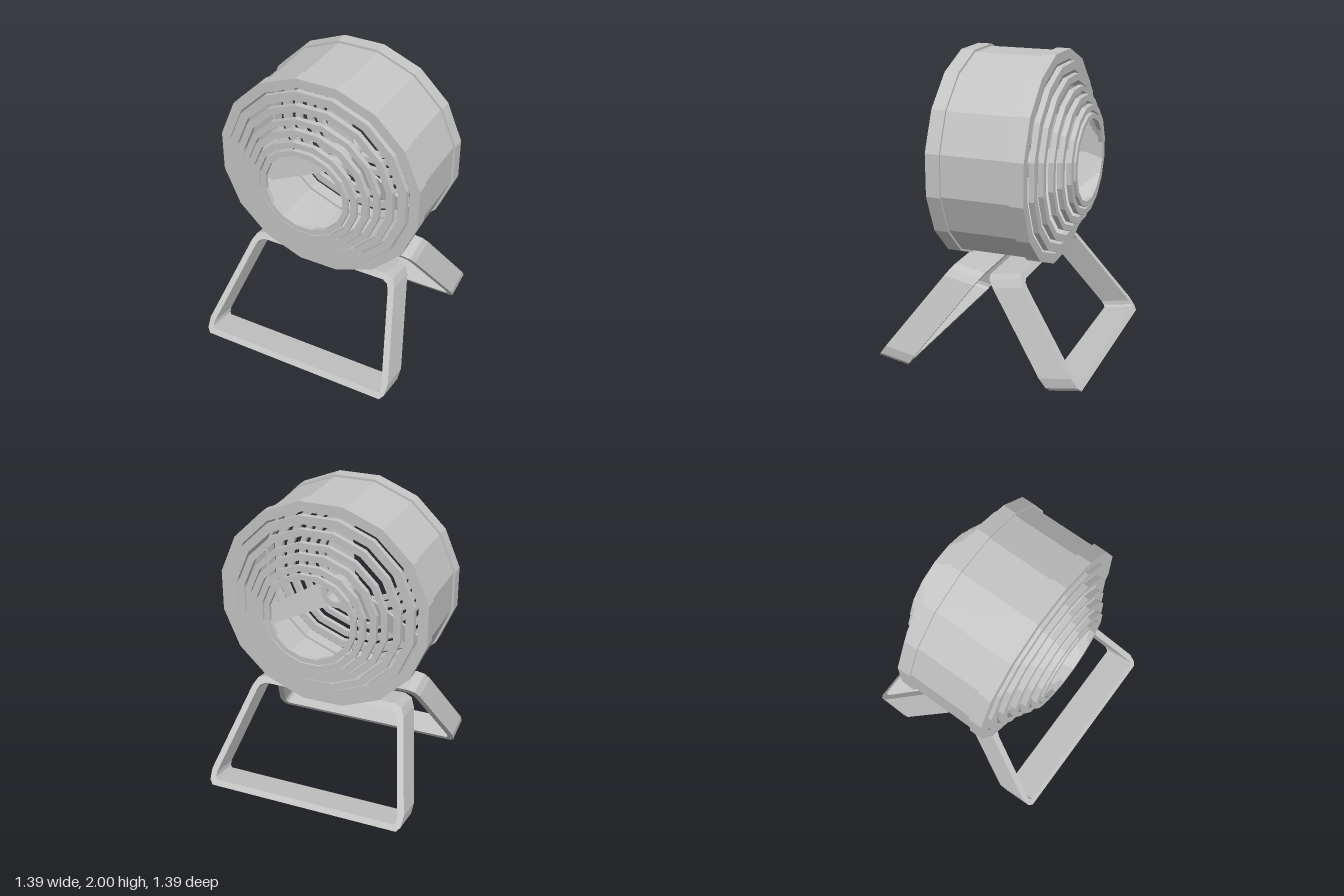
import * as THREE from 'three';

const SIDES = 16;
const CENTRE_Y = 1.317;

// Faceted hollow ring around the z axis; radii are measured to the flats
function ring(name, outer, inner, zBack, zFront, material, outerFront = outer) {
  const k = 1 / Math.cos(Math.PI / SIDES);
  const profile = [
    [outer, zBack], [outerFront, zFront], [inner, zFront], [inner, zBack], [outer, zBack],
  ].map(([r, z]) => new THREE.Vector2(r * k, z));
  const geometry = new THREE.LatheGeometry(profile, SIDES, Math.PI / SIDES);
  geometry.rotateX(Math.PI / 2);
  const mesh = new THREE.Mesh(geometry, material);
  mesh.name = name;
  return mesh;
}

// Symmetric counter-clockwise outline from its right half, listed top to bottom
function outline(half) {
  const left = half.map(([x, y]) => [-x, y]).reverse();
  return [...half, ...left].reverse().map(([x, y]) => new THREE.Vector2(x, y));
}

// Trapezoid band leaning inward towards the top
function standFrame(material) {
  const shape = new THREE.Shape(outline([
    [0.465, 0.642], [0.515, 0.625], [0.542, 0.58], [0.685, 0.09], [0.68, 0.03], [0.655, 0.004],
  ]));
  shape.holes.push(new THREE.Path(outline([
    [0.452, 0.605], [0.485, 0.59], [0.503, 0.56], [0.645, 0.075], [0.642, 0.05], [0.63, 0.037],
  ])));
  const geometry = new THREE.ExtrudeGeometry(shape, { depth: 1, bevelEnabled: false });
  const p = geometry.attributes.position;
  for (let i = 0; i < p.count; i++) {
    const h = p.getY(i), d = p.getZ(i);
    p.setXYZ(i, p.getX(i), h - 0.004 + 0.036 * d, 0.493 - 0.738 * h + 0.207 * d);
  }
  geometry.computeVertexNormals();
  return new THREE.Mesh(geometry, material);
}

export function createModel() {
  const model = new THREE.Group();
  model.name = 'tableFan';
  const grey = new THREE.MeshStandardMaterial({ color: 0xc4c4c4, flatShading: true });
  grey.name = 'grey';

  const head = new THREE.Group();
  head.name = 'fanHead';
  head.position.y = CENTRE_Y;
  head.scale.y = 0.98;
  model.add(head);

  // Drum with a raised rim at each end
  head.add(ring('drum', 0.682, 0.65, -0.3, 0.28, grey));
  head.add(ring('frontRim', 0.697, 0.632, 0.213, 0.306, grey));
  head.add(ring('backRim', 0.697, 0.632, -0.329, -0.238, grey));

  // Stepped guard rings: outer radius, inner radius, near and far distance from the middle
  const guards = [
    [0.62, 0.565, 0.31, 0.347],
    [0.545, 0.5, 0.343, 0.378],
    [0.472, 0.435, 0.381, 0.416],
    [0.418, 0.375, 0.419, 0.453],
    [0.357, 0.318, 0.458, 0.49],
    [0.303, 0.268, 0.472, 0.501],
  ];
  guards.forEach(([outer, inner, near, far], i) => {
    head.add(ring(`frontGuardRing${i + 1}`, outer, inner, near - 0.02, far - 0.02, grey));
    head.add(ring(`backGuardRing${i + 1}`, outer, inner, -far - 0.02, -near - 0.02, grey));
  });

  // Hub and three tapered, pitched blades
  head.add(ring('hub', 0.105, 0.065, -0.1, 0.08, grey, 0.1));
  const bladeShape = new THREE.Shape([
    new THREE.Vector2(-0.088, 0.07), new THREE.Vector2(0.088, 0.07),
    new THREE.Vector2(0.058, 0.635), new THREE.Vector2(-0.058, 0.635),
  ]);
  const bladeGeometry = new THREE.ExtrudeGeometry(bladeShape, { depth: 0.015, bevelEnabled: false });
  bladeGeometry.translate(0, 0, -0.0075);
  bladeGeometry.rotateY(0.25);
  for (let i = 0; i < 3; i++) {
    const blade = new THREE.Mesh(bladeGeometry, grey);
    blade.name = `blade${i + 1}`;
    blade.rotation.z = (i * Math.PI * 2) / 3;
    head.add(blade);
  }

  // Two frames splayed to the front and back
  ['frontStand', 'backStand'].forEach((name, i) => {
    const frame = standFrame(grey);
    frame.name = name;
    frame.rotation.y = i * Math.PI;
    model.add(frame);
  });

  return model;
}
